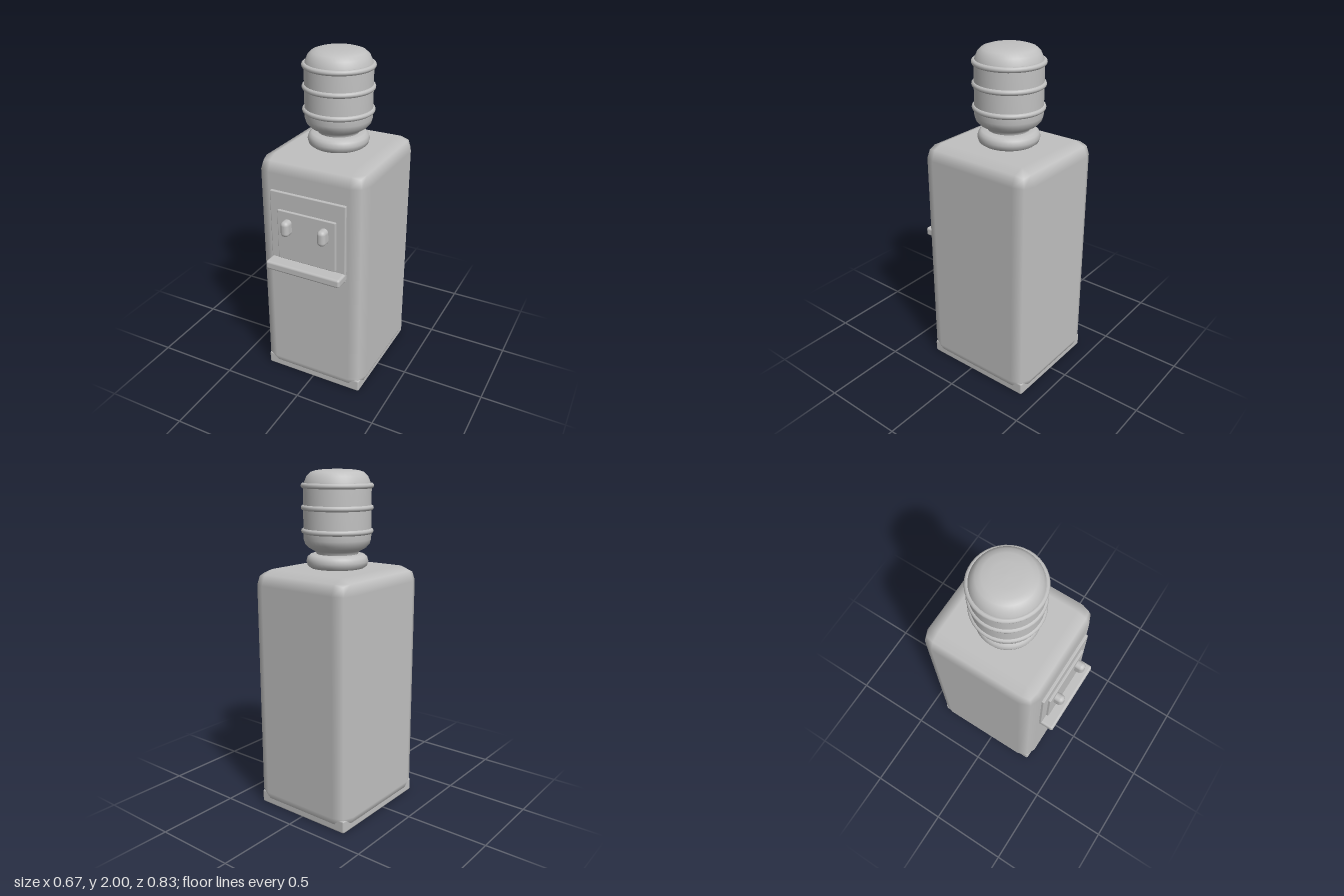
import * as THREE from 'three';
import { RoundedBoxGeometry } from 'three/addons/geometries/RoundedBoxGeometry.js';

export function createModel() {
  const model = new THREE.Group();
  model.name = 'waterDispenser';
  const gray = new THREE.MeshStandardMaterial({ color: 0xc0c0c0 });
  gray.name = 'plainGray';

  function add(name, geometry, x = 0, y = 0, z = 0) {
    const mesh = new THREE.Mesh(geometry, gray);
    mesh.name = name;
    mesh.position.set(x, y, z);
    model.add(mesh);
    return mesh;
  }

  // Rounded box given by its limits on each axis
  function block(name, [x0, x1], [y0, y1], [z0, z1], radius, segments = 1) {
    const geometry = new RoundedBoxGeometry(x1 - x0, y1 - y0, z1 - z0, segments, radius);
    return add(name, geometry, (x0 + x1) / 2, (y0 + y1) / 2, (z0 + z1) / 2);
  }

  const lathe = (points) =>
    new THREE.LatheGeometry(points.map(([r, y]) => new THREE.Vector2(r, y)), 40);

  // Cabinet and the plinth peeking out at its lower edges
  block('cabinet', [-0.337, 0.337], [0, 1.45], [-0.415, 0.32], 0.087);
  block('plinth', [-0.318, 0.318], [0, 0.08], [-0.396, 0.302], 0.012);

  // Dispensing panel with a raised inner plate and drip tray
  block('frontPanel', [-0.237, 0.237], [0.79, 1.265], [0.29, 0.336], 0.006);
  block('innerPanel', [-0.184, 0.183], [0.852, 1.16], [0.3, 0.351], 0.005);
  block('dripTray', [-0.238, 0.238], [0.792, 0.845], [0.28, 0.413], 0.014, 2);

  // Two taps
  for (const [name, x] of [['rightTap', -0.116], ['leftTap', 0.115]]) {
    block(name, [x - 0.026, x + 0.026], [1.02, 1.115], [0.31, 0.403], 0.024, 3);
  }

  // Collar holding the bottle
  const bottleZ = -0.048;
  add('collar', lathe([
    [0.1, 1.445], [0.155, 1.452], [0.171, 1.464], [0.178, 1.489],
    [0.171, 1.513], [0.155, 1.526], [0.125, 1.531], [0.09, 1.528],
  ]), 0, 0, bottleZ);

  // Bottle: neck, shoulder, straight wall and flattened dome
  add('bottle', lathe([
    [0.115, 1.49], [0.12, 1.535], [0.135, 1.55], [0.165, 1.566], [0.185, 1.588],
    [0.193, 1.615], [0.193, 1.65], [0.193, 1.9], [0.186, 1.93], [0.172, 1.962],
    [0.15, 1.983], [0.12, 1.993], [0.07, 1.999], [0, 2],
  ]), 0, 0, bottleZ);

  // Ribs around the bottle
  for (const y of [1.66, 1.79, 1.91]) {
    const rib = add('bottleRib', new THREE.TorusGeometry(0.191, 0.015, 10, 40), 0, y, bottleZ);
    rib.rotation.x = Math.PI / 2;
  }

  return model;
}
